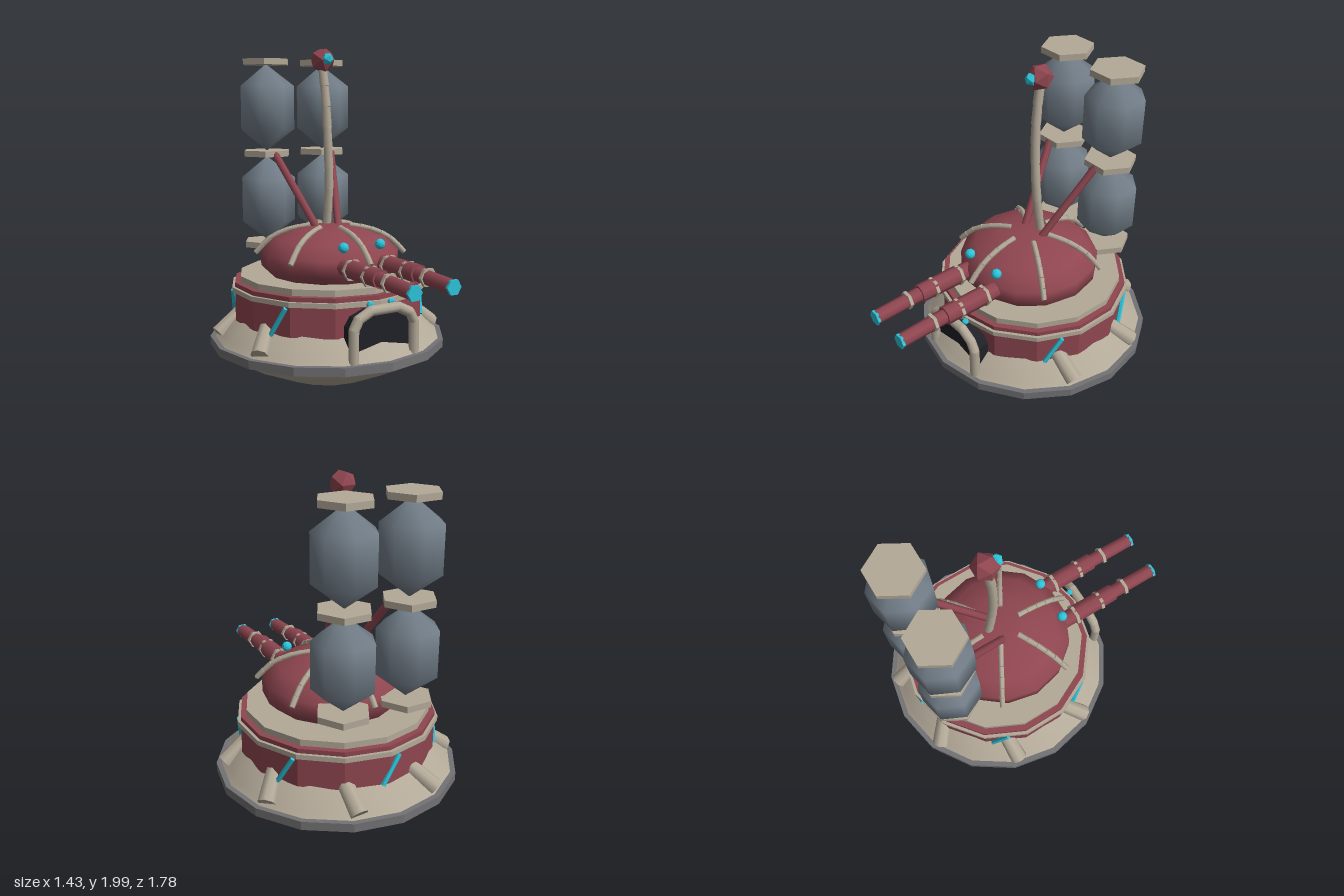
import * as THREE from 'three';

const paint = (color, flatShading = false) =>
  new THREE.MeshStandardMaterial({ color, flatShading, side: THREE.DoubleSide });
const RED = paint(0x8f4650), RED_FLAT = paint(0x8f4650, true);
const BEIGE = paint(0xb3a998), BEIGE_FLAT = paint(0xb3a998, true);
const SLATE = paint(0x75818c), GREY = paint(0x737375, true);
const CYAN = paint(0x2cc4da, true), DARK = paint(0x202127, true);

const V = (x, y, z) => new THREE.Vector3(x, y, z);

function add(parent, name, geometry, material, x = 0, y = 0, z = 0) {
  const mesh = new THREE.Mesh(geometry, material);
  mesh.name = name;
  mesh.position.set(x, y, z);
  parent.add(mesh);
  return mesh;
}

// Round bar between two points
function bar(parent, name, a, b, rA, rB, sides, material) {
  const dir = b.clone().sub(a);
  const mesh = add(parent, name, new THREE.CylinderGeometry(rB, rA, dir.length(), sides), material);
  mesh.position.copy(a).add(b).multiplyScalar(0.5);
  mesh.quaternion.setFromUnitVectors(V(0, 1, 0), dir.normalize());
  return mesh;
}

// Jointed hose: short bars with slightly wider lower ends
function hose(parent, name, curve, count, radius, sides, material) {
  const group = new THREE.Group();
  group.name = name;
  parent.add(group);
  const pts = curve.getSpacedPoints(count);
  for (let i = 0; i < count; i++)
    bar(group, name + 'Segment', pts[i], pts[i + 1], radius, radius * 0.9, sides, material);
}

const disc = (r, h, sides) => new THREE.CylinderGeometry(r, r, h, sides);
const lathe = (pts, sides) => new THREE.LatheGeometry(pts.map(p => new THREE.Vector2(...p)), sides);
// Point at an angle measured from +z towards +x
const polar = (deg, r, y) => {
  const t = THREE.MathUtils.degToRad(deg);
  return V(r * Math.sin(t), y, r * Math.cos(t));
};

function buildBase(root) {
  const base = new THREE.Group();
  base.name = 'base';
  base.position.z = -0.178;
  root.add(base);

  add(base, 'bowl', lathe([[0, 0.005], [0.29, 0.035], [0.585, 0.17], [0.66, 0.22], [0.69, 0.25]], 16), BEIGE);
  add(base, 'rim', disc(0.715, 0.05, 16), GREY, 0, 0.26);
  add(base, 'skirt', lathe([[0.69, 0.28], [0.655, 0.31], [0.56, 0.41], [0.45, 0.47]], 16), BEIGE);
  add(base, 'wall', disc(0.57, 0.23, 14), RED_FLAT, 0, 0.515);
  add(base, 'wallTrim', disc(0.588, 0.028, 14), BEIGE_FLAT, 0, 0.59);
  add(base, 'deck', disc(0.535, 0.04, 14), BEIGE_FLAT, 0, 0.647);

  // Slanted buttresses around the skirt, leaving the doorway free
  for (let i = 1; i < 7; i++) {
    const a = 22.5 + i * 45;
    bar(base, 'buttress', polar(a + 3, 0.665, 0.305), polar(a - 3, 0.525, 0.425), 0.053, 0.047, 8, BEIGE);
  }
  // Slanted light strips on the wall
  for (let i = 1; i < 6; i++) {
    const a = i * 60;
    bar(base, 'lightStrip', polar(a - 4, 0.572, 0.4), polar(a + 6, 0.572, 0.565), 0.014, 0.014, 6, CYAN);
  }
}

function buildDoor(root) {
  const door = new THREE.Group();
  door.name = 'doorway';
  root.add(door);
  const half = [[0.2, 0.28], [0.2, 0.47], [0.17, 0.525], [0.09, 0.565]];
  const outline = [...half, ...half.slice().reverse().map(([x, y]) => [-x, y])];
  const shape = new THREE.Shape(outline.map(p => new THREE.Vector2(...p)));
  add(door, 'doorOpening', new THREE.ExtrudeGeometry(shape, { depth: 0.12, bevelEnabled: false }), DARK, 0, 0, 0.3);
  for (let i = 0; i < outline.length - 1; i++) {
    const [a, b] = [outline[i], outline[i + 1]].map(([x, y]) => V(x, y, 0.447));
    bar(door, 'doorFrame', a, b, 0.03, 0.03, 8, BEIGE);
    if (i) add(door, 'doorFrameJoint', new THREE.SphereGeometry(0.03, 8, 6), BEIGE, a.x, a.y, a.z);
  }
  for (const s of [-1, 1])
    add(door, 'doorLamp', new THREE.IcosahedronGeometry(0.022, 0), CYAN, s * 0.07, 0.59, 0.41);
}

function buildDome(root) {
  const dome = new THREE.Group();
  dome.name = 'turret';
  dome.position.z = -0.142;
  root.add(dome);
  const shell = add(dome, 'dome', new THREE.SphereGeometry(1, 14, 7), RED, 0, 0.76);
  shell.scale.set(0.427, 0.2, 0.427);

  // Six jointed ribs radiating over the dome
  for (let i = 0; i < 6; i++) {
    const pts = [[0.12, 0.952], [0.24, 0.93], [0.36, 0.875], [0.45, 0.785]].map(([r, y]) => polar(i * 60, r, y));
    hose(dome, 'rib', new THREE.CatmullRomCurve3(pts), 6, 0.018, 6, BEIGE);
  }
}

function buildCannon(root, x) {
  const cannon = new THREE.Group();
  cannon.name = 'cannon';
  cannon.position.x = x;
  root.add(cannon);
  bar(cannon, 'cannonBreech', V(0, 0.77, 0.1), V(0, 0.772, 0.34), 0.05, 0.052, 8, RED);
  bar(cannon, 'cannonSleeve', V(0, 0.772, 0.31), V(0, 0.774, 0.59), 0.056, 0.055, 8, RED);
  bar(cannon, 'cannonBarrel', V(0, 0.772, 0.57), V(0, 0.76, 0.88), 0.044, 0.042, 8, RED);
  bar(cannon, 'cannonMuzzle', V(0, 0.76, 0.875), V(0, 0.76, 0.892), 0.045, 0.045, 6, CYAN).rotateY(Math.PI / 6);
  for (const [z, r] of [[0.31, 0.065], [0.49, 0.062], [0.67, 0.055]])
    bar(cannon, 'cannonRing', V(0, 0.77, z - 0.01), V(0, 0.77, z + 0.01), r, r, 6, BEIGE_FLAT).rotateY(Math.PI / 6);
  add(cannon, 'domeLamp', new THREE.IcosahedronGeometry(0.031, 1), CYAN, 0, 0.88, 0.215);
}

function buildTankStack(root, s) {
  const stack = new THREE.Group();
  stack.name = 'tankStack';
  stack.position.set(s * 0.198, 0, -0.585);
  root.add(stack);
  for (const y of [1.08, 1.65]) {
    const tank = add(stack, 'tank', new THREE.SphereGeometry(1, 7, 3), SLATE, 0, y);
    tank.scale.set(0.2, 0.267, 0.2);
  }
  for (const y of [0.797, 1.368, 1.929])
    add(stack, 'tankCap', disc(0.155, 0.037, 6), BEIGE_FLAT, 0, y).rotation.y = Math.PI / 6;
  bar(root, 'tankStrut', V(s * 0.07, 0.92, -0.16), V(s * 0.2, 1.37, -0.47), 0.023, 0.023, 8, RED);
}

function buildAntenna(root) {
  const path = new THREE.CatmullRomCurve3([
    V(0.018, 0.93, -0.215), V(0.016, 1.18, -0.18), V(0.004, 1.45, -0.172),
    V(-0.004, 1.71, -0.183), V(-0.01, 1.9, -0.212),
  ]);
  hose(root, 'mast', path, 8, 0.028, 8, BEIGE);
  add(root, 'mastHead', new THREE.IcosahedronGeometry(0.077, 0), RED_FLAT, -0.01, 1.93, -0.207).rotation.y = Math.PI / 2;
  add(root, 'mastEye', new THREE.IcosahedronGeometry(0.036, 0), CYAN, -0.012, 1.935, -0.145);
}

export function createModel() {
  const root = new THREE.Group();
  root.name = 'walkerFortress';
  buildBase(root);
  buildDoor(root);
  buildDome(root);
  for (const s of [-1, 1]) {
    buildCannon(root, s * 0.123);
    buildTankStack(root, s);
  }
  buildAntenna(root);
  return root;
}
